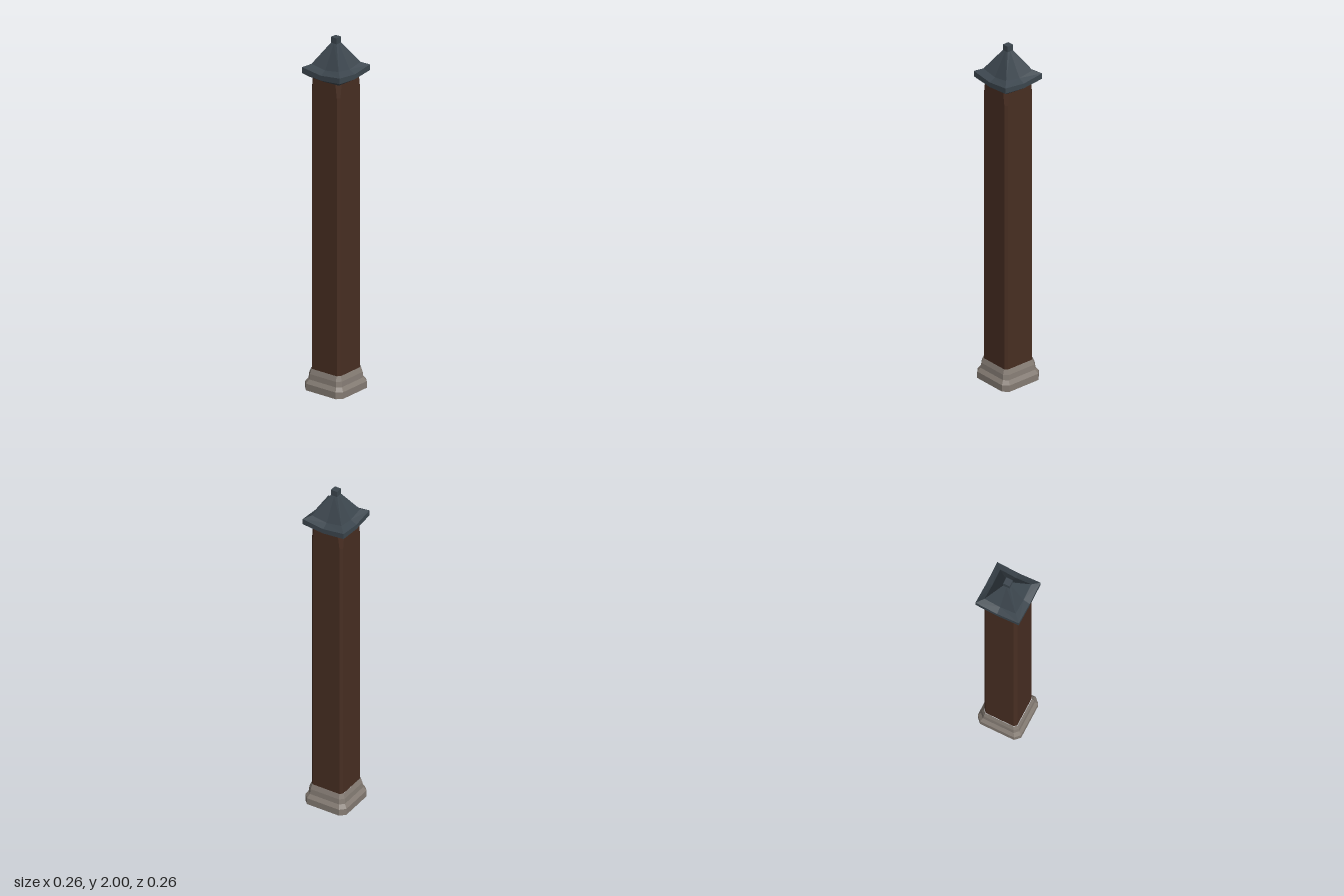
import * as THREE from 'three';

const material = (name, color) => {
  const m = new THREE.MeshStandardMaterial({ color, flatShading: true, side: THREE.DoubleSide });
  m.name = name;
  return m;
};

// Repeats one side's [x, y, z] points around the four sides
function fourSides(points) {
  const ring = [];
  for (let k = 0; k < 4; k++) {
    for (const p of points) {
      let [x, y, z] = p;
      for (let i = 0; i < k; i++) [x, z] = [z, -x];
      ring.push(new THREE.Vector3(x, y, z));
    }
  }
  return ring;
}

// Square with cut corners: half width h, corner cut c
const chamferRing = ([y, h, c]) => fourSides([[h - c, y, h], [h, y, h - c]]);
// Square whose corners sit at another height than the side middles
const upturnedRing = ([h, midY, cornerY]) => fourSides([[0, midY, h], [h, cornerY, h]]);

// Skins a stack of rings, from bottom to top
function loft(rings, closeTop = false) {
  const pos = [];
  const tri = (...v) => v.forEach((p) => pos.push(p.x, p.y, p.z));
  const n = rings[0].length;
  for (let r = 0; r < rings.length - 1; r++) {
    for (let i = 0; i < n; i++) {
      const j = (i + 1) % n;
      const [a, b, c, d] = [rings[r][i], rings[r][j], rings[r + 1][j], rings[r + 1][i]];
      // Mirror the diagonal on alternate quads so both halves of a side match
      if (i % 2) { tri(a, b, c); tri(a, c, d); } else { tri(a, b, d); tri(b, c, d); }
    }
  }
  if (closeTop) {
    const top = rings[rings.length - 1];
    for (let i = 1; i < n - 1; i++) tri(top[0], top[i], top[i + 1]);
  }
  const g = new THREE.BufferGeometry();
  g.setAttribute('position', new THREE.Float32BufferAttribute(pos, 3));
  g.computeVertexNormals();
  return g;
}

export function createModel() {
  const group = new THREE.Group();
  group.name = 'post';
  const add = (name, geometry, mat) => {
    const mesh = new THREE.Mesh(geometry, mat);
    mesh.name = name;
    group.add(mesh);
  };

  // Hollow stone foot, flared at the bottom: [y, half width, corner cut]
  add('stoneBase', loft([
    [0, 0.128, 0.028], [0.038, 0.128, 0.028], [0.06, 0.113, 0.022],
    [0.09, 0.11, 0.022], [0.118, 0.1, 0.016],
  ].map(chamferRing)), material('stone', 0x857c74));

  // Timber shaft, its corner cuts widening under the roof
  add('shaft', loft([
    [0.115, 0.097, 0.014], [1.7, 0.097, 0.014], [1.78, 0.097, 0.024],
  ].map(chamferRing)), material('dark wood', 0x482e22));

  // Roof with upturned eaves and finial: [half width, middle y, corner y]
  add('roof', loft([
    [0.09, 1.774, 1.776], [0.1, 1.774, 1.778], [0.128, 1.79, 1.802],
    [0.128, 1.818, 1.834], [0.092, 1.836, 1.851],
    [0.019, 1.967, 1.967], [0.019, 2, 2],
  ].map(upturnedRing), true), material('slate', 0x3c464e));

  return group;
}
